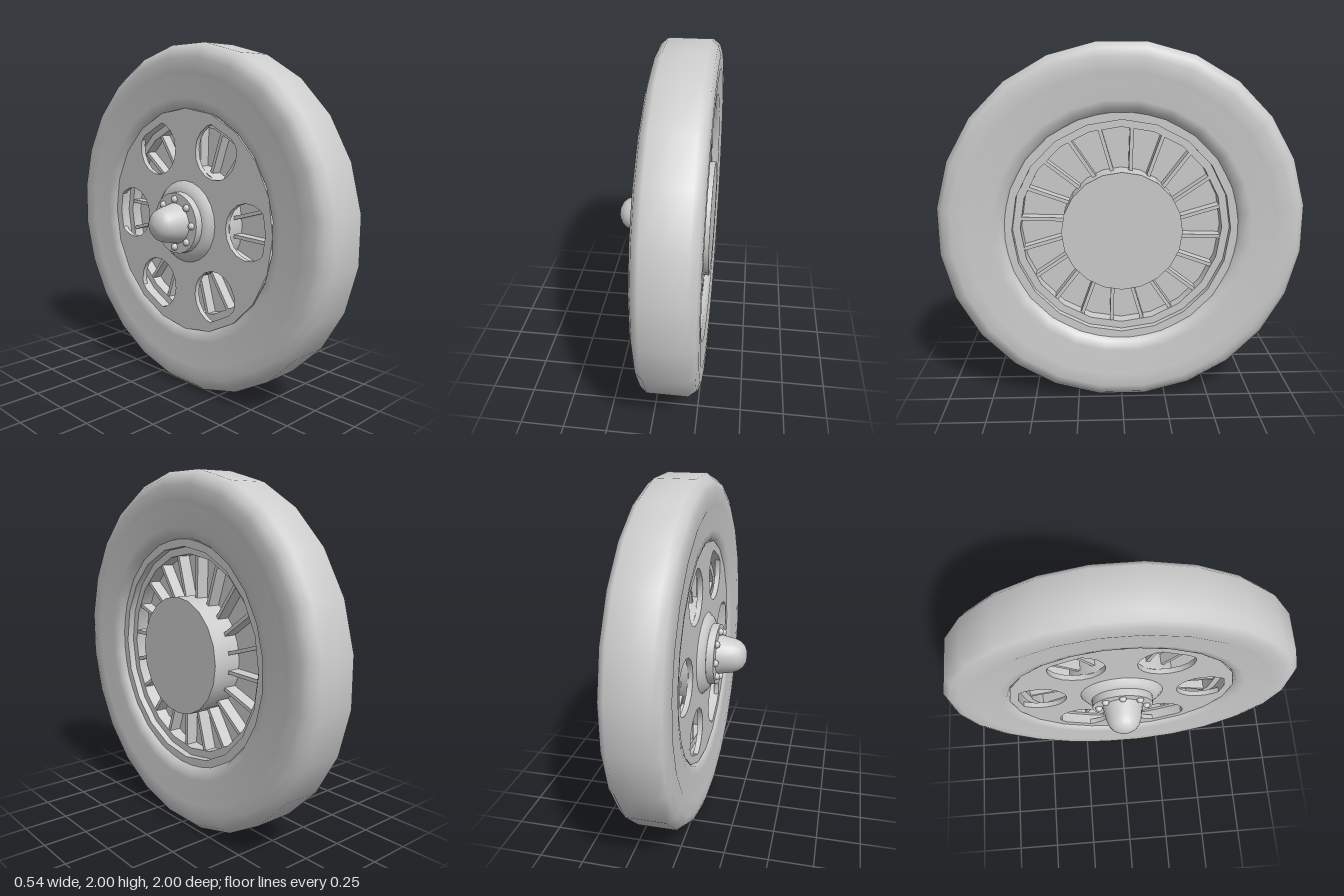
import * as THREE from 'three';
import { toCreasedNormals } from 'three/addons/utils/BufferGeometryUtils.js';

export function createModel() {
  const wheel = new THREE.Group();
  wheel.name = 'wheel';
  const grey = new THREE.MeshStandardMaterial({ color: 0xcccccc });
  grey.name = 'plain grey';

  const add = (name, geometry, parent = wheel) => {
    const mesh = new THREE.Mesh(geometry, grey);
    mesh.name = name;
    parent.add(mesh);
    return mesh;
  };

  // Turned part around the x axle; profile points are [radius, x]
  const turned = (name, profile, sides, { start = 0, crease = 0.5 } = {}) => {
    let g = new THREE.LatheGeometry(profile.map(p => new THREE.Vector2(...p)), sides, start);
    g.rotateZ(-Math.PI / 2);
    if (crease) g = toCreasedNormals(g, crease);
    return add(name, g, axle);
  };

  const axle = new THREE.Group();
  axle.name = 'axleAssembly';
  axle.position.y = 1;
  wheel.add(axle);

  // Tyre with rounded shoulders and a shallow sidewall step
  turned('tyre', [
    [0.64, -0.01], [0.66, -0.04], [0.71, -0.05], [0.82, -0.05], [0.85, -0.06], [0.93, -0.06],
    [0.975, -0.045], [1.0086, -0.005], [1.0086, 0.105], [1.0086, 0.215], [0.975, 0.255],
    [0.93, 0.27], [0.85, 0.27], [0.82, 0.26], [0.71, 0.26], [0.66, 0.245], [0.64, 0.21],
  ], 24, { start: Math.PI / 24, crease: 0 });

  // Stepped rim, closed ring
  turned('rim', [
    [0.6, -0.03], [0.648, -0.03], [0.648, 0.22], [0.602, 0.22], [0.602, 0.18],
    [0.56, 0.18], [0.56, 0.03], [0.6, 0.03], [0.6, -0.03],
  ], 20);

  // Web disc and brake drum
  turned('webDisc', [[0.3, 0.095], [0.58, 0.095], [0.58, 0.105], [0.3, 0.105]], 20);
  turned('drum', [[0, -0.005], [0.33, -0.005], [0.33, 0.27], [0, 0.27]], 20);

  // Thin slats on both sides of the web, slightly crossed
  const slats = 20;
  for (let i = 0; i < slats; i++) {
    for (const side of [1, -1]) {
      const spoke = new THREE.Group();
      spoke.name = 'spoke';
      spoke.rotation.x = ((i + 0.5 + side * 0.12) / slats) * Math.PI * 2;
      const bar = add('slat', new THREE.BoxGeometry(0.07, 0.26, 0.02), spoke);
      bar.position.set(0.105 + side * 0.035, 0.445, 0);
      bar.rotation.x = side * 0.09;
      axle.add(spoke);
    }
  }

  // Six-armed cover plate with round notches opening at the rim
  const R = 0.61, C = 0.475, N = 0.155;
  const phi = Math.acos((R * R + C * C - N * N) / (2 * R * C));
  const beta = Math.atan2(R * Math.sin(phi), R * Math.cos(phi) - C);
  const outline = [];
  for (let k = 0; k < 6; k++) {
    const a = k * Math.PI / 3, b = a + Math.PI / 3;
    for (let i = 0; i <= 4; i++) {
      const t = a + phi + (b - a - 2 * phi) * i / 4;
      outline.push(new THREE.Vector2(R * Math.cos(t), R * Math.sin(t)));
    }
    for (let i = 1; i < 14; i++) {
      const t = b - beta - (2 * Math.PI - 2 * beta) * i / 14;
      outline.push(new THREE.Vector2(C * Math.cos(b) + N * Math.cos(t), C * Math.sin(b) + N * Math.sin(t)));
    }
  }
  const plate = new THREE.ExtrudeGeometry(new THREE.Shape(outline), { depth: 0.03, bevelEnabled: false });
  plate.rotateY(-Math.PI / 2);
  add('coverPlate', toCreasedNormals(plate, 0.5), axle);

  // Hub: dished boss, bolt flange and domed cap
  turned('hubBoss', [[0, -0.068], [0.19, -0.068], [0.215, -0.055], [0.24, -0.029]], 24);
  turned('hubFlange', [[0, -0.11], [0.175, -0.11], [0.178, -0.06], [0, -0.06]], 24);
  turned('hubCap', [
    [0, -0.272], [0.035, -0.268], [0.065, -0.253], [0.087, -0.228],
    [0.1, -0.195], [0.108, -0.15], [0.118, -0.105],
  ], 24, { crease: 0 });

  // Ring of rounded bolts on the flange
  for (let i = 0; i < 8; i++) {
    const a = (i / 8) * Math.PI * 2;
    const bolt = add('hubBolt', new THREE.SphereGeometry(0.021, 12, 8), axle);
    bolt.position.set(-0.113, 0.138 * Math.cos(a), 0.138 * Math.sin(a));
  }

  return wheel;
}
